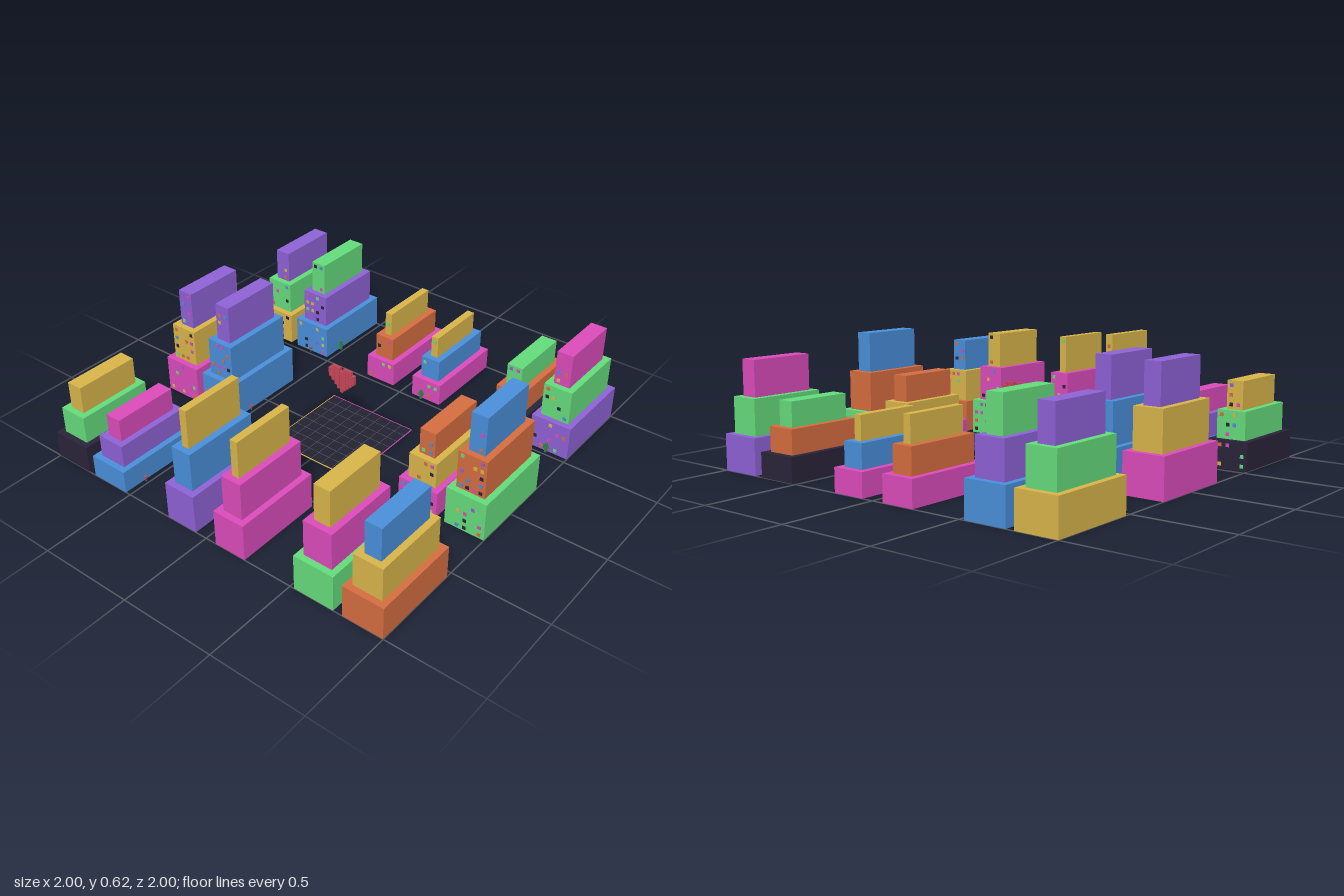
import * as THREE from 'three';

const COLORS = {
  yellow: 0xdbb84c, green: 0x66df7d, purple: 0x9163d9, blue: 0x4a91dd, pink: 0xde4dbd,
  orange: 0xd96f41, dark: 0x2a253a, ground: 0x232333, line: 0x5c6070, red: 0xc8475a, leaf: 0x2f8a4a
};
const materials = {};
for (const key in COLORS) materials[key] = new THREE.MeshStandardMaterial({ color: COLORS[key] });

function box(parent, name, color, [w, h, d], [x, y, z]) {
  const mesh = new THREE.Mesh(new THREE.BoxGeometry(w, h, d), materials[color]);
  mesh.name = name;
  mesh.position.set(x, y, z);
  parent.add(mesh);
  return mesh;
}

// Seeded generator for the window pattern
let seed = 7;
function rand() {
  seed = (seed * 16807) % 2147483647;
  return seed / 2147483647;
}

// x, z, total height, colours of the three tiers from the ground up
const BUILDINGS = [
  [-0.893, -0.765, 0.52, 'yellow', 'green', 'purple'],
  [-0.635, -0.765, 0.53, 'blue', 'purple', 'green'],
  [-0.152, -0.765, 0.39, 'pink', 'orange', 'yellow'],
  [0.148, -0.765, 0.355, 'pink', 'blue', 'yellow'],
  [0.63, -0.765, 0.37, 'dark', 'orange', 'green'],
  [0.892, -0.765, 0.545, 'purple', 'green', 'pink'],
  [-0.893, 0, 0.6, 'pink', 'yellow', 'purple'],
  [-0.635, 0, 0.61, 'blue', 'blue', 'purple'],
  [0.63, 0, 0.41, 'pink', 'yellow', 'orange'],
  [0.892, 0, 0.615, 'green', 'orange', 'blue'],
  [-0.893, 0.765, 0.43, 'dark', 'green', 'yellow'],
  [-0.635, 0.765, 0.355, 'blue', 'purple', 'pink'],
  [-0.152, 0.765, 0.61, 'purple', 'blue', 'yellow'],
  [0.148, 0.765, 0.58, 'pink', 'pink', 'yellow'],
  [0.63, 0.765, 0.57, 'green', 'pink', 'yellow'],
  [0.892, 0.765, 0.515, 'orange', 'yellow', 'blue']
];
const WINDOW_COLORS = ['yellow', 'green', 'purple', 'blue', 'pink', 'orange', 'dark'];

// Three stepped blocks with scattered lit windows on one face
function building(x, z, height, tiers) {
  const group = new THREE.Group();
  group.name = 'building';
  group.position.set(x, 0, z);
  const widths = Math.abs(x) < 0.3 ? [0.175, 0.11, 0.04] : [0.215, 0.153, 0.086];
  const depths = [0.47, 0.405, 0.34];
  const side = z > 0.3 ? -1 : 1;
  const h = height / 3;
  tiers.forEach((color, i) => {
    box(group, 'tier', color, [widths[i], h, depths[i]], [0, h * (i + 0.5), 0]);
    const cols = Math.max(1, Math.floor(widths[i] / 0.036));
    const rows = Math.floor(h / 0.04);
    for (let c = 0; c < cols; c++) {
      for (let r = 0; r < rows; r++) {
        const tint = WINDOW_COLORS[Math.floor(rand() * WINDOW_COLORS.length)];
        if (rand() < 0.55 || tint === color) continue;
        const wx = ((c + 0.5) / cols - 0.5) * widths[i] * 0.92;
        const wy = h * (i + (r + 0.5) / rows);
        box(group, 'window', tint, [0.018, 0.018, 0.005], [wx, wy, side * depths[i] / 2]);
      }
    }
  });
  return group;
}

// Small cactus with two raised arms
function cactus(x, z) {
  const group = new THREE.Group();
  group.name = 'cactus';
  group.position.set(x, 0, z);
  box(group, 'trunk', 'leaf', [0.011, 0.055, 0.011], [0, 0.0275, 0]);
  for (const s of [-1, 1]) {
    box(group, 'arm', 'leaf', [0.008, 0.006, 0.008], [s * 0.008, 0.024, 0]);
    box(group, 'armTip', 'leaf', [0.006, 0.018, 0.008], [s * 0.011, 0.033, 0]);
  }
  return group;
}

// Tiny red flower on a stem
function flower(x, z) {
  const group = new THREE.Group();
  group.name = 'flower';
  group.position.set(x, 0, z);
  box(group, 'stem', 'leaf', [0.004, 0.022, 0.004], [0, 0.011, 0]);
  box(group, 'bloom', 'red', [0.013, 0.01, 0.013], [0, 0.026, 0]);
  return group;
}

// Floating heart made of small cubes
function heart() {
  const rows = [
    '.###.###.',
    '#########',
    '#########',
    '#########',
    '.#######.',
    '..#####..',
    '...###...',
    '....#....'
  ];
  const group = new THREE.Group();
  group.name = 'heart';
  const cell = 0.0176;
  rows.forEach((row, r) => {
    [...row].forEach((mark, c) => {
      if (mark === '#') {
        box(group, 'heartCube', 'red', [0.016, 0.016, 0.018],
          [(c - 4) * cell, 0.41 - (r + 0.5) * cell, 0]);
      }
    });
  });
  return group;
}

// Dark plaza tile with a fine grid and two bright edges
function plaza() {
  const group = new THREE.Group();
  group.name = 'plaza';
  const size = 0.506, half = size / 2, cells = 8;
  box(group, 'plazaTile', 'ground', [size, 0.003, size], [0, 0.0015, 0]);
  for (let i = 1; i < cells; i++) {
    const p = -half + size * i / cells;
    box(group, 'gridLine', 'line', [0.002, 0.001, size], [p, 0.0033, 0]);
    box(group, 'gridLine', 'line', [size, 0.001, 0.002], [0, 0.0033, p]);
  }
  for (const s of [-1, 1]) {
    const color = s < 0 ? 'yellow' : 'pink';
    box(group, 'plazaEdge', color, [0.004, 0.004, size], [s * half, 0.002, 0]);
    box(group, 'plazaEdge', color, [size, 0.004, 0.004], [0, 0.002, -s * half]);
  }
  return group;
}

export function createModel() {
  const model = new THREE.Group();
  model.name = 'blockCity';
  for (const [x, z, height, ...tiers] of BUILDINGS) model.add(building(x, z, height, tiers));
  model.add(plaza(), heart());

  // Planting beside the inner walls
  const cacti = [[-0.517, -0.645], [0.125, -0.52], [0.885, -0.52], [0.512, 0.125], [-0.645, 0.512], [0.512, 0.89]];
  const flowers = [[-0.635, -0.517], [0.512, -0.64], [-0.515, 0.12], [0.12, 0.512], [-0.515, 0.88], [0.88, 0.512]];
  for (const [x, z] of cacti) model.add(cactus(x, z));
  for (const [x, z] of flowers) model.add(flower(x, z));
  return model;
}
